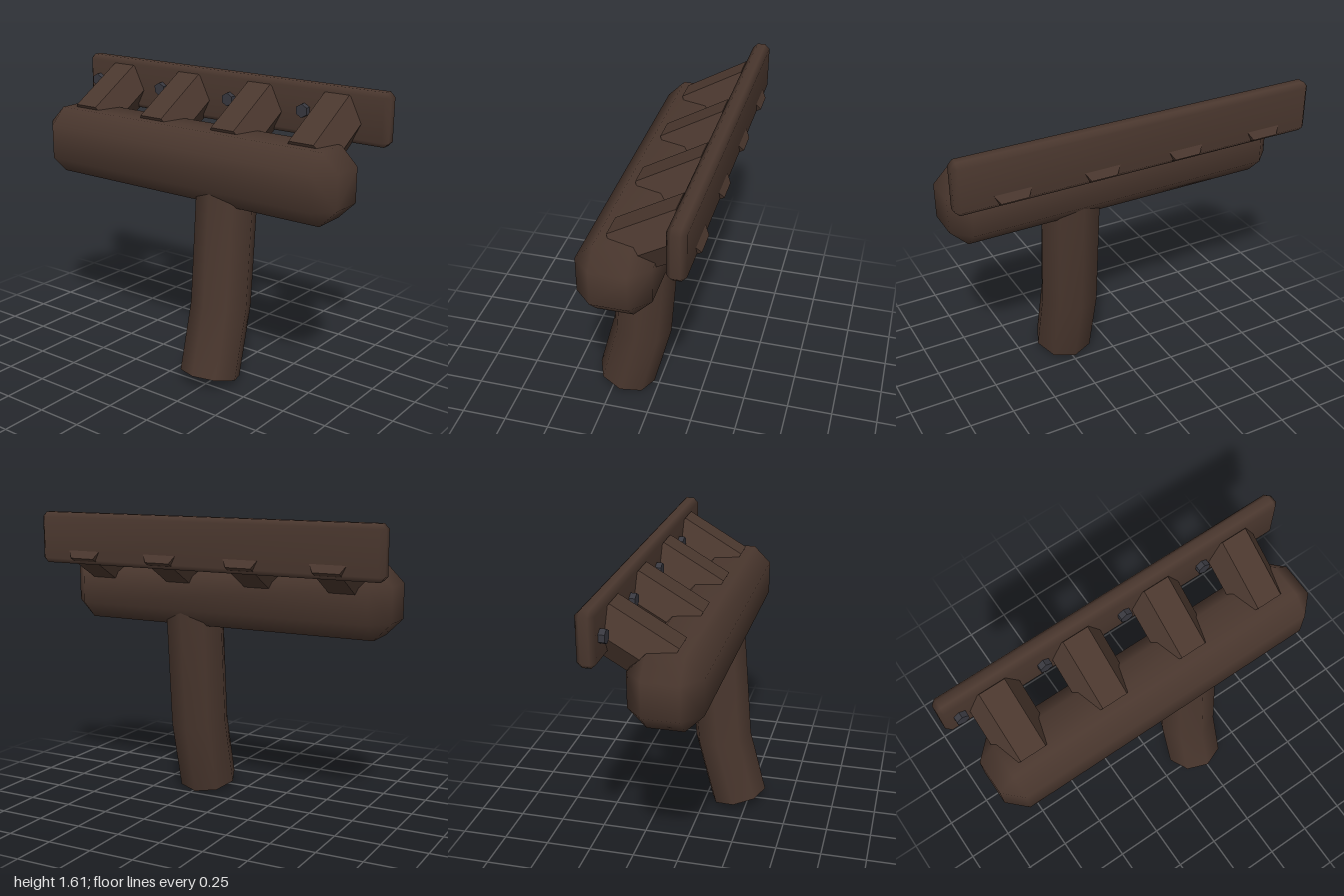
import * as THREE from 'three';
import { mergeVertices } from 'three/addons/utils/BufferGeometryUtils.js';
import { ConvexGeometry } from 'three/addons/geometries/ConvexGeometry.js';

// Box with one flat bevel on every edge and smooth normals
function bevelBox(w, h, d, bevel) {
  const points = [];
  for (const sx of [-1, 1]) for (const sy of [-1, 1]) for (const sz of [-1, 1]) {
    for (let full = 0; full < 3; full++) {
      const half = [w / 2, h / 2, d / 2].map((v, i) => (i === full ? v : v - bevel));
      points.push(new THREE.Vector3(sx * half[0], sy * half[1], sz * half[2]));
    }
  }
  let geo = new ConvexGeometry(points);
  geo.deleteAttribute('normal');
  geo = mergeVertices(geo);
  geo.computeVertexNormals();
  return geo;
}

// Eight-sided pipe through three tilted rings, listed from top to bottom
function bentPipe(radius, rings) {
  const geo = new THREE.CylinderGeometry(radius, radius, 1, 8, rings.length - 1);
  const pos = geo.attributes.position, nor = geo.attributes.normal;
  const axis = new THREE.Vector3(1, 0, 0), v = new THREE.Vector3();
  for (let i = 0; i < pos.count; i++) {
    const [y, z, tilt] = rings[Math.round((0.5 - pos.getY(i)) * (rings.length - 1))];
    v.set(pos.getX(i), 0, pos.getZ(i)).applyAxisAngle(axis, -tilt);
    pos.setXYZ(i, v.x, v.y + y, v.z + z);
    v.fromBufferAttribute(nor, i).applyAxisAngle(axis, -tilt);
    nor.setXYZ(i, v.x, v.y, v.z);
  }
  return geo;
}

export function createModel() {
  const model = new THREE.Group();
  const brown = new THREE.MeshStandardMaterial({ color: 0x4a372e });
  brown.name = 'darkBrown';
  const steel = new THREE.MeshStandardMaterial({ color: 0x38383f });
  steel.name = 'boltGrey';

  const add = (name, geo, material, x, y, z) => {
    const mesh = new THREE.Mesh(geo, material);
    mesh.name = name;
    mesh.position.set(x, y, z);
    model.add(mesh);
    return mesh;
  };

  // Main chamber and mounting flange
  add('plenum', bevelBox(1.9, 0.375, 0.375, 0.094), brown, 0, 1.188, 0.046);
  add('flange', bevelBox(2, 0.28, 0.095, 0.026), brown, 0, 1.475, -0.288);

  // Bent inlet pipe below the chamber
  add('inletPipe', bentPipe(0.165, [
    [1.19, 0.036, 0.075],
    [0.425, 0.093, 0.153],
    [0.045, 0.19, 0.245],
  ]), brown, 0.235, 0, 0);

  // Hexagonal runners and bolts, evenly spaced along the flange
  const runnerGeo = new THREE.CylinderGeometry(0.1425, 0.1425, 0.385, 6, 1, false, Math.PI / 6)
    .toNonIndexed();
  runnerGeo.computeVertexNormals();
  const boltGeo = new THREE.CylinderGeometry(0.037, 0.037, 0.04, 6).toNonIndexed();
  boltGeo.computeVertexNormals();
  for (let i = 0; i < 4; i++) {
    const x = -0.716 + i * 0.476;
    add('runner', runnerGeo, brown, x, 1.381, -0.13).rotation.x = -Math.PI / 3;
    add('bolt', boltGeo, steel, x - 0.193, 1.473, -0.229).rotation.x = Math.PI / 2;
  }
  return model;
}
